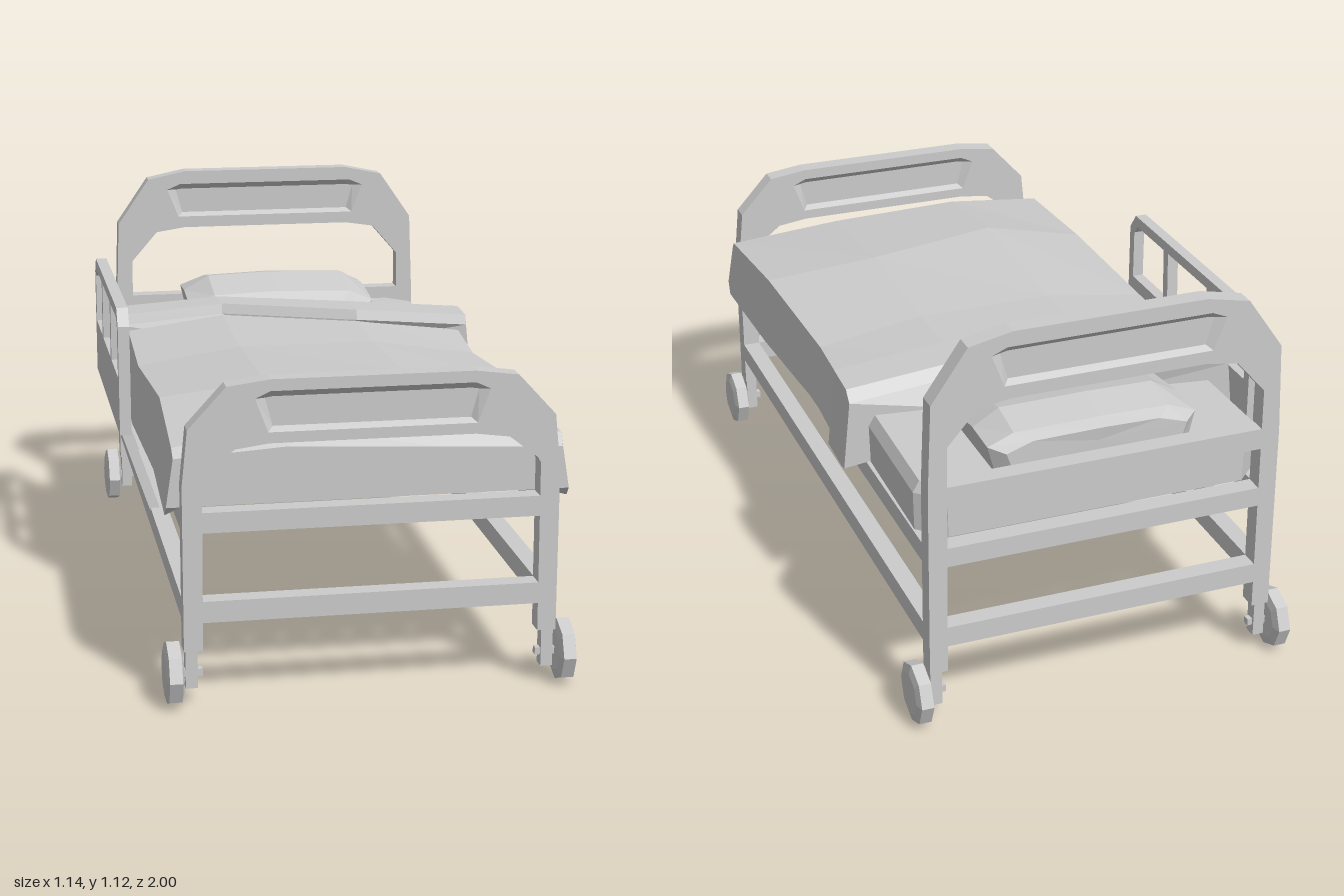
import * as THREE from 'three';

const grey = new THREE.MeshStandardMaterial({ color: 0xcccccc, flatShading: true });
const greyThin = new THREE.MeshStandardMaterial({ color: 0xcccccc, flatShading: true, side: THREE.DoubleSide });
const CX = 0.0125; // middle of the frame
const HEAD_Z = -0.913, FOOT_Z = 0.917, THICK = 0.053;

function add(parent, name, geometry, material = grey) {
  const mesh = new THREE.Mesh(geometry, material);
  mesh.name = name;
  parent.add(mesh);
  return mesh;
}

function box(parent, name, x0, x1, y0, y1, z0, z1) {
  const mesh = add(parent, name, new THREE.BoxGeometry(x1 - x0, y1 - y0, z1 - z0));
  mesh.position.set((x0 + x1) / 2, (y0 + y1) / 2, (z0 + z1) / 2);
}

// Skin over cross-sections that run counter-clockwise seen from +z and go from front to back
function loft(sections, capStart = true, capEnd = true) {
  const pos = [];
  const tri = (...points) => points.forEach((p) => pos.push(...p));
  const n = sections[0].length;
  const middle = (s) => [0, 1, 2].map((k) => s.reduce((sum, p) => sum + p[k], 0) / n);
  for (let i = 0; i < sections.length - 1; i++) {
    for (let j = 0; j < n; j++) {
      const k = (j + 1) % n, s = sections[i], t = sections[i + 1];
      tri(s[j], t[j], t[k]);
      tri(s[j], t[k], s[k]);
    }
  }
  const first = sections[0], last = sections[sections.length - 1];
  for (let j = 0; j < n; j++) {
    const k = (j + 1) % n;
    if (capStart) tri(middle(first), first[j], first[k]);
    if (capEnd) tri(middle(last), last[k], last[j]);
  }
  const geometry = new THREE.BufferGeometry();
  geometry.setAttribute('position', new THREE.Float32BufferAttribute(pos, 3));
  geometry.computeVertexNormals();
  return geometry;
}

// Half outline (x positive) plus its mirror image, shifted to the frame's middle
const mirrored = (half) => [
  ...half.map(([x, y]) => [CX + x, y]),
  ...half.slice().reverse().map(([x, y]) => [CX - x, y]),
];
const vectors = (points) => points.map(([x, y]) => new THREE.Vector2(x, y));

// End board with its two legs and a recessed panel on both faces
function endBoard(name, z, outer, inner, slotWidth, slotShift) {
  const group = new THREE.Group();
  group.name = name;
  const outline = [...mirrored(outer), ...mirrored(inner).reverse()];
  const place = ([x, y]) => [x * slotWidth, y + slotShift];
  const rim = mirrored([[0.29, 0.97], [0.325, 1.06], [0.283, 1.078]].map(place));
  const floor = mirrored([[0.275, 0.982], [0.296, 1.057], [0.275, 1.06]].map(place));
  const shape = new THREE.Shape(vectors(outline));
  shape.holes.push(new THREE.Path(vectors(rim)));
  const board = new THREE.ExtrudeGeometry(shape, { depth: THICK, bevelEnabled: false });
  add(group, name + 'Panel', board.translate(0, 0, z - THICK / 2));
  for (const side of [1, -1]) {
    const at = (points, depth) => points.map(([x, y]) => [x, y, z + side * depth]);
    add(group, name + 'Recess', loft([at(rim, THICK / 2), at(floor, THICK / 2 - 0.018)], false, true), greyThin);
  }
  return group;
}

// Bedding cross-section: heights and depths at the right edge, two crown lines and left edge
function coverSection([xl, xr], bottom, heights, depths) {
  const [yr, y2, y1, yl] = heights, [zr, z2, z1, zl] = depths;
  return [
    [0.48, 0.53, zr], [xr + 0.012, bottom, zr], [xr - 0.008, yr, zr],
    [0.2, y2, z2], [-0.2, y1, z1],
    [xl + 0.008, yl, zl], [xl - 0.012, bottom, zl], [-0.455, 0.53, zl],
  ];
}

export function createModel() {
  const bed = new THREE.Group();
  bed.name = 'hospitalBed';

  // Head and foot boards
  bed.add(endBoard('headboard', HEAD_Z,
    [[0.4975, 0.155], [0.4975, 0.7], [0.488, 0.95], [0.388, 1.095], [0.2675, 1.12]],
    [[0.4475, 0.155], [0.445, 0.825], [0.3625, 0.92], [0.27, 0.934]], 1, 0));
  bed.add(endBoard('footboard', FOOT_Z,
    [[0.4975, 0.155], [0.4975, 0.6], [0.482, 0.75], [0.381, 0.86], [0.2675, 0.875]],
    [[0.4475, 0.155], [0.445, 0.62], [0.437, 0.635], [0.36, 0.695], [0.27, 0.707]], 0.945, -0.234));

  // Frame bars
  const frame = new THREE.Group();
  frame.name = 'frame';
  bed.add(frame);
  for (const [y0, y1] of [[0.475, 0.53], [0.232, 0.29]]) {
    for (const z of [HEAD_Z, FOOT_Z]) {
      box(frame, 'crossBar', CX - 0.448, CX + 0.448, y0, y1, z - THICK / 2, z + THICK / 2);
    }
    for (const side of [-1, 1]) {
      const x = CX + side * 0.4725;
      box(frame, 'sideBar', x - 0.025, x + 0.025, y0, y1, HEAD_Z + THICK / 2, FOOT_Z - THICK / 2);
    }
  }
  box(frame, 'headCrossBar', CX - 0.446, CX + 0.446, 0.65, 0.71, HEAD_Z - THICK / 2, HEAD_Z + THICK / 2);

  // Casters: post, axle and eight-sided wheel
  const wheel = new THREE.LatheGeometry(vectors([
    [0, -0.023], [0.06, -0.024], [0.086, -0.017], [0.086, 0.017], [0.06, 0.024], [0, 0.023],
  ]), 8).rotateZ(Math.PI / 2);
  for (const side of [-1, 1]) {
    for (const z of [HEAD_Z, FOOT_Z]) {
      const x = CX + side * 0.477;
      box(bed, 'casterPost', x - 0.016, x + 0.016, 0.05, 0.16, z - 0.018, z + 0.018);
      box(bed, 'casterAxle', x - 0.03, x + 0.03, 0.08, 0.1, z - 0.01, z + 0.01);
      add(bed, 'casterWheel', wheel).position.set(CX + side * 0.524, 0.091, z);
    }
  }

  // Mattress with clipped corners at the head
  const mattressRow = (z, inset) => [
    [0.505 - inset, 0.53, z], [0.508 - inset, 0.64, z], [0.49 - inset, 0.672, z],
    [-0.465 + inset, 0.672, z], [-0.483 + inset, 0.64, z], [-0.48 + inset, 0.53, z],
  ];
  add(bed, 'mattress', loft([
    mattressRow(0.84, 0.03), mattressRow(-0.815, 0), mattressRow(-0.884, 0.07),
  ]));

  // Blanket
  const flat = (z, bow = 0) => [z, z + bow, z + bow, z];
  add(bed, 'blanket', loft([
    coverSection([-0.508, 0.54], 0.53, [0.645, 0.66, 0.68, 0.66], flat(0.886)),
    coverSection([-0.508, 0.545], 0.5, [0.675, 0.71, 0.72, 0.68], flat(0.85, -0.02)),
    coverSection([-0.495, 0.538], 0.505, [0.708, 0.75, 0.757, 0.71], [0.46, 0.42, 0.5, 0.45]),
    coverSection([-0.51, 0.515], 0.512, [0.687, 0.735, 0.735, 0.69], flat(0)),
    coverSection([-0.5, 0.535], 0.515, [0.7, 0.742, 0.745, 0.705], [-0.32, -0.31, -0.45, -0.46]),
  ]));

  // Turned-back fold of the blanket
  const front = [-0.257, -0.25, -0.395, -0.405], back = [-0.42, -0.415, -0.54, -0.57];
  const foldTop = [0.745, 0.775, 0.778, 0.75];
  const lowered = foldTop.map((y) => y - 0.03);
  add(bed, 'blanketFold', loft([
    coverSection([-0.522, 0.555], 0.513, lowered, front),
    coverSection([-0.522, 0.555], 0.513, foldTop, front.map((z) => z - 0.01)),
    coverSection([-0.525, 0.56], 0.513, foldTop, back.map((z) => z + 0.028)),
    coverSection([-0.525, 0.56], 0.518, lowered, back),
  ]));

  // Pillow
  const pillowRow = (z, inset, low, edge, top) => [
    [0.29 - inset, low, z], [0.313 - inset, edge, z], [0.24 - inset, top, z],
    [0, top + 0.006, z - 0.005],
    [-0.2 + inset, top, z], [-0.28 + inset, edge, z], [-0.26 + inset, low, z],
  ];
  add(bed, 'pillow', loft([
    pillowRow(-0.548, 0.05, 0.67, 0.7, 0.715),
    pillowRow(-0.575, 0, 0.665, 0.735, 0.768),
    pillowRow(-0.735, 0, 0.665, 0.755, 0.8),
    pillowRow(-0.845, 0, 0.665, 0.75, 0.78),
    pillowRow(-0.88, 0.04, 0.675, 0.74, 0.765),
  ]));

  // Side guard on the right: solid lower panel with three windows above (drawn in z, y)
  const guard = new THREE.Shape(vectors([
    [-0.652, 0.525], [0.162, 0.525], [0.162, 0.845], [0.125, 0.893], [-0.61, 0.893], [-0.652, 0.845],
  ]));
  const sill = 0.69, head = 0.862;
  for (const win of [
    [[-0.622, sill], [-0.405, sill], [-0.395, head], [-0.598, head], [-0.622, 0.836]],
    [[-0.375, sill], [-0.115, sill], [-0.108, head], [-0.367, head]],
    [[-0.085, sill], [0.132, sill], [0.132, 0.836], [0.11, head], [-0.078, head]],
  ]) guard.holes.push(new THREE.Path(vectors(win)));
  const guardGeometry = new THREE.ExtrudeGeometry(guard, { depth: 0.033, bevelEnabled: false });
  guardGeometry.rotateY(-Math.PI / 2).translate(-0.54, 0, 0);
  add(bed, 'sideGuard', guardGeometry);

  // Slanted arms holding the guard to the lower side bar
  const arm = (x, y, z) => [
    [x + 0.015, y, z + 0.031], [x - 0.015, y, z + 0.031], [x - 0.015, y, z - 0.031], [x + 0.015, y, z - 0.031],
  ];
  for (const z of [0.092, -0.522]) {
    add(bed, 'guardArm', loft([arm(-0.557, 0.54, z - 0.02), arm(-0.467, 0.27, z)]), greyThin);
  }

  return bed;
}
